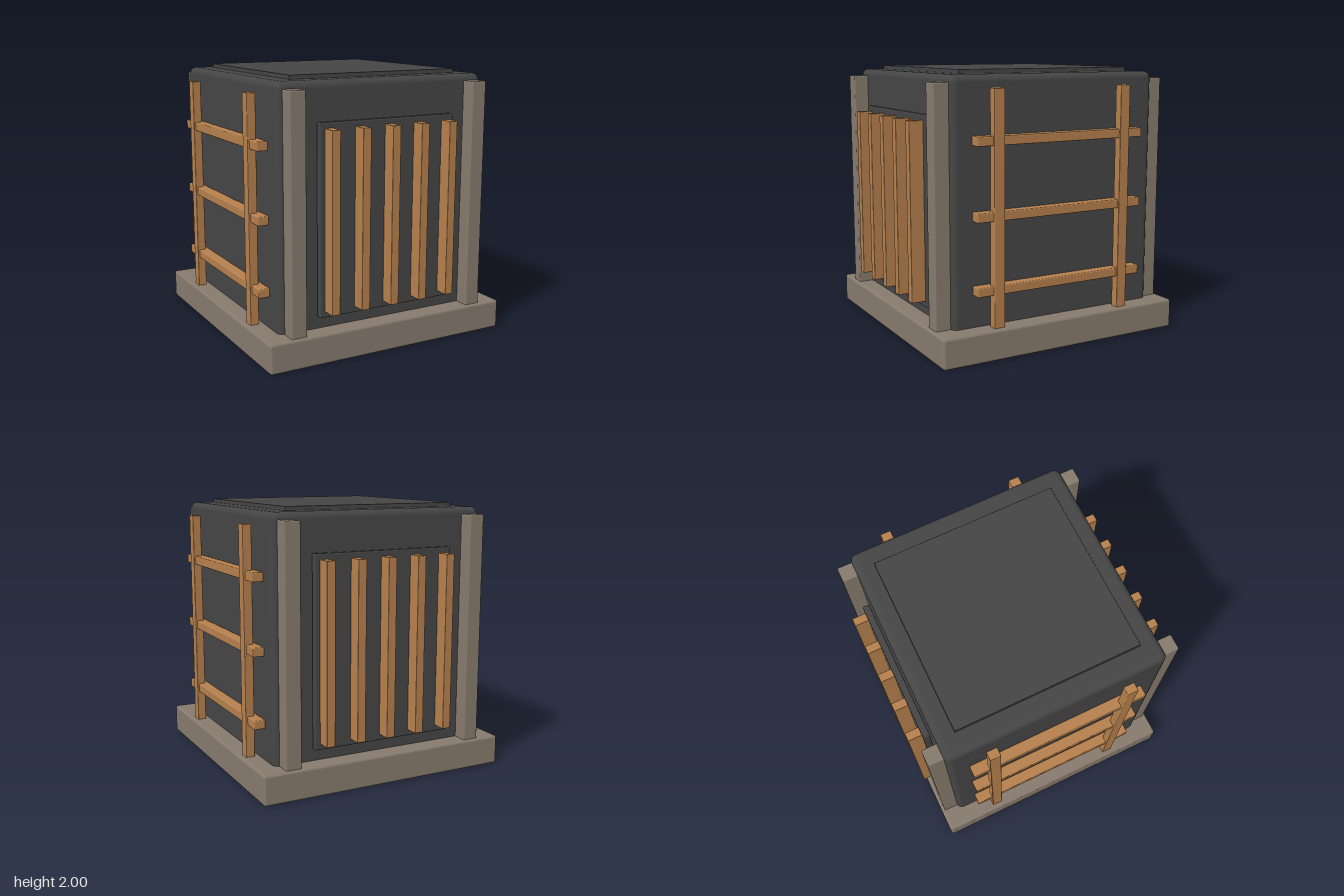
import * as THREE from 'three';
import { RoundedBoxGeometry } from 'three/addons/geometries/RoundedBoxGeometry.js';

const material = (name, color) => {
  const m = new THREE.MeshStandardMaterial({ color });
  m.name = name;
  return m;
};

export function createModel() {
  const charcoal = material('charcoal', 0x454545);
  const stone = material('stone', 0x867a6d);
  const wood = material('wood', 0xb5804d);
  const model = new THREE.Group();
  model.name = 'slattedCabinet';

  // Box given by its limits on each axis, with softened edges
  function block(name, mat, [x0, x1], [y0, y1], [z0, z1], radius, segments = 2) {
    const geometry = new RoundedBoxGeometry(x1 - x0, y1 - y0, z1 - z0, segments, radius);
    const mesh = new THREE.Mesh(geometry, mat);
    mesh.name = name;
    mesh.position.set((x0 + x1) / 2, (y0 + y1) / 2, (z0 + z1) / 2);
    model.add(mesh);
  }
  const around = (c, size) => [c - size / 2, c + size / 2];

  // Plinth, body and the core that shows as a raised plate on top
  block('base', stone, [-0.975, 0.975], [0, 0.22], [-0.975, 0.975], 0.02);
  block('body', charcoal, [-0.838, 0.838], [0.03, 1.97], [-0.838, 0.838], 0.05, 4);
  block('core', charcoal, [-0.68, 0.68], [0, 2], [-0.7, 0.7], 0.002, 1);

  for (const s of [-1, 1]) {
    // Corner posts, front and back
    for (const x of [-0.74, 0.74])
      block('cornerPost', stone, around(x, 0.12), [0.2, 1.92], around(s * 0.89, 0.12), 0.01);

    // Panel with upright slats, front and back
    block('panel', charcoal, [-0.55, 0.55], [0.31, 1.69], around(s * 0.87, 0.05), 0.01);
    for (let i = -2; i <= 2; i++)
      block('slat', wood, around(i * 0.24, 0.065), [0.355, 1.65], around(s * 0.945, 0.11), 0.004, 1);

    // Ladder frame on each side
    for (const z of [-0.522, 0.522])
      block('ladderUpright', wood, around(s * 0.902, 0.066), [0.2, 1.88], around(z, 0.082), 0.006);
    for (const y of [0.487, 1.007, 1.527])
      block('ladderRung', wood, around(s * 0.879, 0.084), around(y, 0.066), [-0.685, 0.685], 0.008);
  }
  return model;
}
